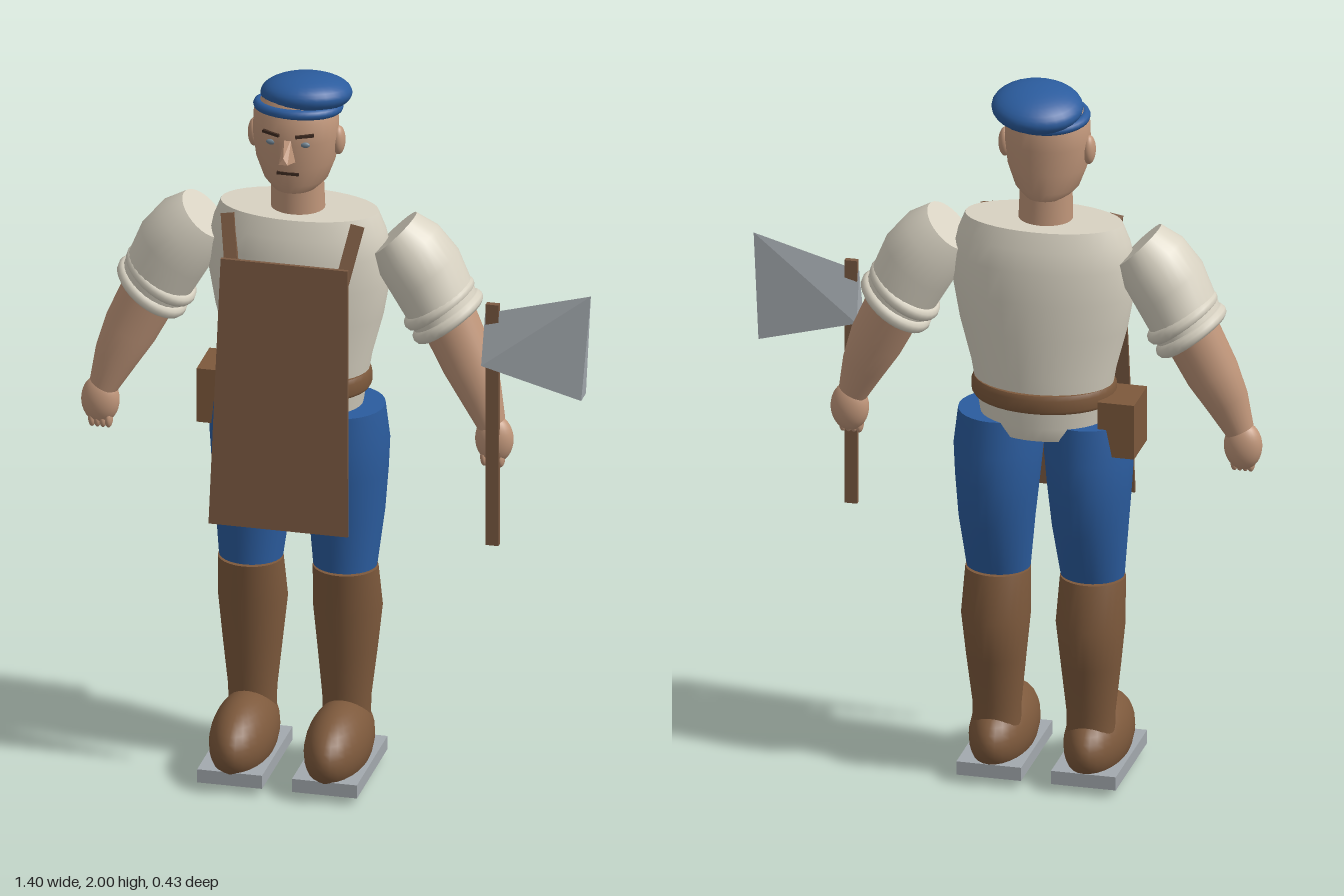
import * as THREE from 'three';
import { ConvexGeometry } from 'three/addons/geometries/ConvexGeometry.js';

const CX = -0.111; // centre line of the body
const V = (x, y, z) => new THREE.Vector3(x, y, z);

// Skin over elliptical rings listed bottom to top: [x, y, z, rx, rz, tilt about z], with flat caps
function loft(rings, n = 28) {
  const pos = [], idx = [];
  const addRing = ([x, y, z, rx, rz, t = 0]) => {
    for (let k = 0; k < n; k++) {
      const a = (k / n) * Math.PI * 2, u = rx * Math.cos(a);
      pos.push(x + u * Math.cos(t), y + u * Math.sin(t), z + rz * Math.sin(a));
    }
  };
  rings.forEach(addRing);
  for (let i = 0; i < rings.length - 1; i++) {
    for (let k = 0; k < n; k++) {
      const p = i * n + k, q = i * n + (k + 1) % n;
      idx.push(p, p + n, q, q, p + n, q + n);
    }
  }
  [rings[0], rings[rings.length - 1]].forEach((r, top) => {
    const base = pos.length / 3;
    addRing(r);
    pos.push(r[0], r[1], r[2]);
    for (let k = 0; k < n; k++) {
      const p = base + k, q = base + (k + 1) % n;
      idx.push(base + n, top ? q : p, top ? p : q);
    }
  });
  const g = new THREE.BufferGeometry();
  g.setAttribute('position', new THREE.Float32BufferAttribute(pos, 3));
  g.setIndex(idx);
  g.computeVertexNormals();
  return g;
}

export function createModel() {
  const root = new THREE.Group();
  root.name = 'craftsman';
  const mat = (name, color) => Object.assign(new THREE.MeshStandardMaterial({ color }), { name });
  const skin = mat('skin', 0xc0967a), shirt = mat('linen', 0xd8d2c2), blue = mat('blue cloth', 0x2b5c9e);
  const leather = mat('boot leather', 0x7d593c), hide = mat('apron leather', 0x7b5a42);
  const steel = mat('steel', 0xa3a9ae), dark = mat('dark brown', 0x3d2a20), iris = mat('eye grey', 0x6f8290);

  const add = (name, geo, material, x = 0, y = 0, z = 0) => {
    const m = new THREE.Mesh(geo, material);
    m.name = name;
    m.position.set(x, y, z);
    root.add(m);
    return m;
  };
  const ball = (name, material, x, y, z, rx, ry, rz) =>
    add(name, new THREE.SphereGeometry(1, 28, 18).scale(rx, ry, rz), material, x, y, z);
  const box = (name, material, x, y, z, w, h, d) =>
    add(name, new THREE.BoxGeometry(w, h, d), material, x, y, z);

  // Torso and neck
  add('torso', loft([
    [CX, 1.02, -0.06, 0.155, 0.115], [CX, 1.06, -0.06, 0.172, 0.128], [CX, 1.2, -0.06, 0.196, 0.136],
    [CX, 1.32, -0.06, 0.228, 0.14], [CX, 1.42, -0.06, 0.246, 0.142], [CX, 1.51, -0.06, 0.248, 0.138],
    [CX, 1.57, -0.06, 0.235, 0.127], [CX, 1.62, -0.06, 0.215, 0.11],
  ], 36), shirt);
  add('neck', loft([[-0.114, 1.58, -0.056, 0.074, 0.066], [-0.116, 1.73, -0.054, 0.07, 0.063]]), skin);

  // Head
  const HX = -0.117;
  add('head', loft([
    [HX, 1.69, -0.046, 0.062, 0.078], [HX, 1.715, -0.046, 0.086, 0.088], [HX, 1.77, -0.044, 0.107, 0.094],
    [HX, 1.84, -0.043, 0.116, 0.098], [HX, 1.9, -0.044, 0.114, 0.097], [HX, 1.95, -0.046, 0.085, 0.075],
  ]), skin);
  add('nose', new ConvexGeometry([
    V(HX - 0.01, 1.86, 0.045), V(HX + 0.01, 1.86, 0.045), V(HX - 0.022, 1.79, 0.045), V(HX + 0.022, 1.79, 0.045),
    V(HX - 0.012, 1.802, 0.1), V(HX + 0.012, 1.802, 0.1), V(HX, 1.82, 0.098),
  ]), skin);
  for (const s of [-1, 1]) {
    ball('ear', skin, HX + s * 0.115, 1.824, -0.05, 0.018, 0.041, 0.024);
    ball('eye', iris, HX + s * 0.046, 1.842, 0.045, 0.014, 0.008, 0.006);
    const brow = box('eyebrow', dark, HX + s * 0.046, 1.868, 0.048, 0.05, 0.008, 0.008);
    brow.rotation.set(0, s * 0.3, s * 0.08);
  }
  box('mouth', dark, HX, 1.755, 0.046, 0.06, 0.008, 0.009);

  // Beret with its band
  ball('beret', blue, -0.096, 1.944, -0.073, 0.123, 0.053, 0.115).rotation.set(-0.16, 0, 0.04);
  const band = add('beretBand', new THREE.TorusGeometry(0.105, 0.014, 10, 36).rotateX(Math.PI / 2), blue, -0.113, 1.914, -0.052);
  band.scale.set(1.02, 1, 0.88);
  band.rotation.x = -0.1;

  // Belt, buckle and pouch
  add('belt', loft([
    [CX, 1.11, -0.056, 0.19, 0.148], [CX, 1.12, -0.056, 0.196, 0.154],
    [CX, 1.15, -0.056, 0.196, 0.154], [CX, 1.162, -0.056, 0.19, 0.148],
  ], 36), leather);
  box('buckle', leather, CX, 1.133, 0.104, 0.07, 0.07, 0.025);
  box('pouch', leather, -0.33, 1.06, -0.075, 0.1, 0.155, 0.14);

  // Apron leaning forward at the hem
  const trapezoid = new THREE.Shape([[-0.286, 1.515], [-0.308, 0.762], [0.074, 0.762], [0.062, 1.515]]
    .map(([x, y]) => new THREE.Vector2(x, y)));
  const apron = new THREE.ExtrudeGeometry(trapezoid, { depth: 0.01, bevelEnabled: false });
  const ap = apron.attributes.position;
  for (let i = 0; i < ap.count; i++) ap.setZ(i, ap.getZ(i) + 0.098 + (1.515 - ap.getY(i)) * 0.06);
  apron.computeVertexNormals();
  add('apron', apron, hide);
  for (const s of [-1, 1]) {
    const a = V(CX + s * 0.178, 1.61, 0.018), b = V(CX + s * 0.14, 1.41, 0.104), d = a.clone().sub(b);
    const mid = a.clone().lerp(b, 0.5);
    box('apronStrap', hide, mid.x, mid.y, mid.z, 0.036, d.length(), 0.014)
      .quaternion.setFromUnitVectors(V(0, 1, 0), d.normalize());
  }

  for (const s of [-1, 1]) {
    const X = d => CX + s * d;

    // Arm: sleeve, rolled cuff, forearm, hand
    add('sleeve', loft([
      [X(0.405), 1.34, -0.063, 0.098, 0.1, s * 0.65], [X(0.347), 1.457, -0.06, 0.108, 0.108, s * 0.68],
      [X(0.3), 1.522, -0.058, 0.102, 0.104, s * 0.73], [X(0.262), 1.567, -0.057, 0.078, 0.085, s * 0.78],
    ]), shirt);
    for (const [dx, y] of [[0.405, 1.337], [0.381, 1.374]]) {
      add('cuffRoll', new THREE.TorusGeometry(0.091, 0.02, 10, 32).rotateX(Math.PI / 2), shirt, X(dx), y, -0.064)
        .rotation.z = s * 0.64;
    }
    add('forearm', loft([
      [X(0.532), 1.05, -0.036, 0.04, 0.036, s * 0.45], [X(0.5), 1.135, -0.045, 0.06, 0.052, s * 0.47],
      [X(0.463), 1.215, -0.056, 0.074, 0.064, s * 0.48], [X(0.4), 1.345, -0.066, 0.08, 0.072, s * 0.55],
    ]), skin);
    ball('hand', skin, X(0.54), 1.008, -0.034, 0.052, 0.068, 0.04);
    for (let i = 0; i < 4; i++) {
      ball('finger', skin, X(0.515 + i * 0.015), 0.958, -0.026, 0.011, 0.027, 0.02);
    }

    // Leg: trousers, boot shaft, foot, sole plate
    add('trouserLeg', loft([
      [X(0.129), 0.6, -0.043, 0.086, 0.08], [X(0.128), 0.75, -0.064, 0.102, 0.111],
      [X(0.126), 0.87, -0.064, 0.113, 0.125], [X(0.124), 0.96, -0.061, 0.12, 0.126],
      [X(0.12), 1.06, -0.057, 0.113, 0.115],
    ]), blue);
    add('bootShaft', loft([
      [X(0.129), 0.13, -0.06, 0.064, 0.057], [X(0.129), 0.21, -0.06, 0.066, 0.057],
      [X(0.13), 0.35, -0.065, 0.081, 0.075], [X(0.13), 0.47, -0.068, 0.093, 0.093],
      [X(0.13), 0.595, -0.043, 0.088, 0.083],
    ]), leather);
    ball('bootFoot', leather, X(0.13), 0.108, 0.025, 0.086, 0.108, 0.19);
    box('solePlate', steel, X(0.13), 0.041, 0.022, 0.178, 0.038, 0.335);
  }

  // Axe held in the left hand
  box('axeHandle', hide, 0.433, 1.065, 0, 0.035, 0.7, 0.016);
  add('axeBlade', new ConvexGeometry([
    V(0.412, 1.385, 0), V(0.41, 1.247, 0.036), V(0.41, 1.247, -0.036),
    V(0.702, 1.465, 0), V(0.682, 1.17, 0.026), V(0.682, 1.17, -0.026),
  ]), steel);

  return root;
}
